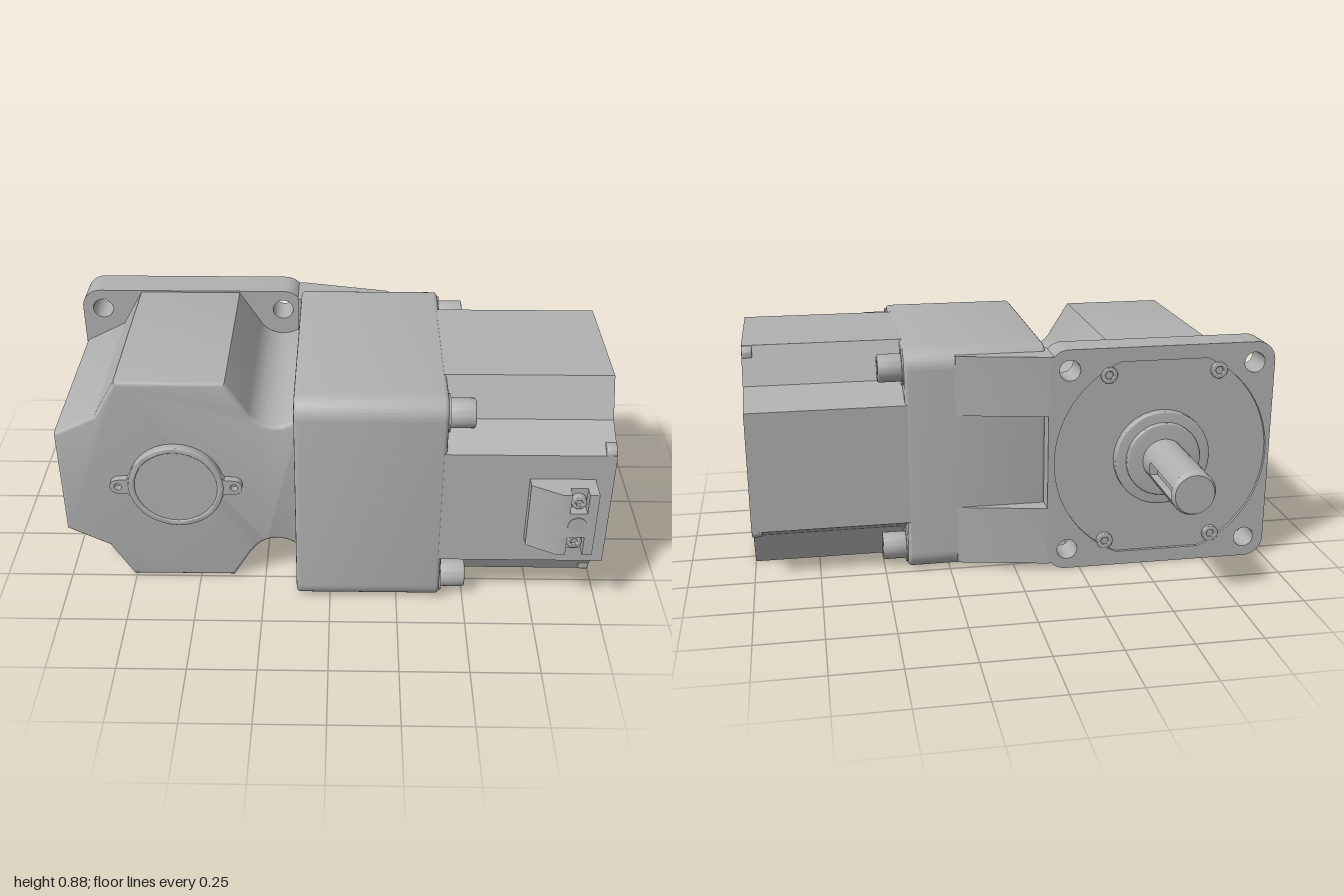
import * as THREE from 'three';
import { toCreasedNormals } from 'three/addons/utils/BufferGeometryUtils.js';

const metal = new THREE.MeshStandardMaterial({ color: 0xb0b0b0 });
metal.name = 'grey metal';

const CX = -0.565, CY = 0.44;   // gearbox output axis
const MZ = 0.19;                // motor axis (z)

const shapeOf = (pts) => new THREE.Shape(pts.map(([x, y]) => new THREE.Vector2(x, y)));

function circle(x, y, r, Type = THREE.Shape) {
  const s = new Type();
  s.absarc(x, y, r, 0, Math.PI * 2, false);
  return s;
}

function roundedRect(x0, y0, x1, y1, r) {
  const s = new THREE.Shape();
  s.absarc(x1 - r, y1 - r, r, 0, Math.PI / 2);
  s.absarc(x0 + r, y1 - r, r, Math.PI / 2, Math.PI);
  s.absarc(x0 + r, y0 + r, r, Math.PI, Math.PI * 1.5);
  s.absarc(x1 - r, y0 + r, r, Math.PI * 1.5, Math.PI * 2);
  return s;
}

// Extrude between two stations along an axis; a bevel eats into the outline.
// axis x: shape is (-z, y); axis y: shape is (x, -z); axis z: shape is (x, y)
function prism(shape, a, b, axis = 'z', bevel = 0) {
  const g = new THREE.ExtrudeGeometry(shape, {
    depth: b - a - 2 * bevel, curveSegments: 16, bevelEnabled: bevel > 0,
    bevelThickness: bevel, bevelSize: bevel, bevelOffset: -bevel, bevelSegments: 3,
  });
  g.translate(0, 0, a + bevel);
  if (axis === 'x') g.rotateY(Math.PI / 2);
  if (axis === 'y') g.rotateX(-Math.PI / 2);
  return toCreasedNormals(g, 0.55);
}

export function createModel() {
  const model = new THREE.Group();
  model.name = 'gearedMotor';
  const add = (name, geo, parent = model) => {
    const m = new THREE.Mesh(geo, metal);
    m.name = name;
    parent.add(m);
    return m;
  };

  // Socket-head screw whose head grows along local +z
  function screw(name, r, len, pos, ry = 0) {
    const g = new THREE.Group();
    g.name = name;
    const head = circle(0, 0, r);
    const hex = new THREE.Path();
    for (let i = 0; i <= 6; i++) {
      const a = (i * Math.PI) / 3, c = r * 0.5;
      i ? hex.lineTo(c * Math.cos(a), c * Math.sin(a)) : hex.moveTo(c, 0);
    }
    head.holes.push(hex);
    add('screwHead', prism(head, 0, len, 'z', r * 0.1), g);
    add('socketFloor', prism(circle(0, 0, r * 0.6), 0, len * 0.5), g);
    g.position.set(...pos);
    g.rotation.y = ry;
    model.add(g);
  }

  // Mounting flange with four holes and a shallow recess on the back
  const holes = () => [-0.92, -0.2].flatMap((x) => [0.08, 0.8].map((y) => circle(x, y, 0.04, THREE.Path)));
  const flange = roundedRect(-1, 0, -0.12, 0.88, 0.075);
  flange.holes.push(...holes());
  add('mountingFlange', prism(flange, -0.308, -0.19));
  const rim = roundedRect(-1, 0, -0.12, 0.88, 0.075);
  const recess = new THREE.Path();
  const t = Math.asin(0.385 / 0.42);
  recess.absarc(CX, CY, 0.42, -t, t);
  recess.absarc(CX, CY, 0.42, Math.PI - t, Math.PI + t);
  recess.closePath();
  rim.holes.push(...holes(), recess);
  add('flangeRim', prism(rim, -0.32, -0.308));
  for (const sx of [-1, 1]) for (const sy of [-1, 1])
    screw('flangeScrew', 0.032, 0.018, [CX + sx * 0.215, CY + sy * 0.335, -0.307], Math.PI);

  // Gearbox housing: faceted on the outside, scooped around the inner bolt holes
  const body = new THREE.Shape();
  body.moveTo(-0.76, 0.875);
  body.lineTo(-0.84, 0.735);
  body.lineTo(-0.995, 0.655);
  body.lineTo(-0.995, 0.225);
  body.lineTo(-0.84, 0.145);
  body.lineTo(-0.76, 0.005);
  body.lineTo(-0.37, 0.005);
  body.lineTo(-0.3, 0.125);
  body.absarc(-0.2, 0.08, 0.105, 2.7, 0.6, true);
  body.lineTo(-0.1, 0.14);
  body.lineTo(-0.1, 0.74);
  body.absarc(-0.2, 0.8, 0.105, -0.6, -2.7, true);
  body.lineTo(-0.37, 0.875);
  add('gearboxHousing', prism(body, -0.2, 0.5, 'z', 0.015));

  // Front cap with two screw lugs
  const ring = circle(CX, 0.445, 0.175);
  ring.holes.push(circle(CX, 0.445, 0.152, THREE.Path));
  add('capRing', prism(ring, 0.49, 0.53, 'z', 0.005));
  add('capDisc', prism(circle(CX, 0.445, 0.153), 0.49, 0.525));
  for (const s of [-1, 1]) {
    const lug = new THREE.Shape();
    const x = CX + s * 0.213;
    lug.moveTo(CX + s * 0.155, 0.385);
    lug.lineTo(CX + s * 0.178, 0.412);
    lug.lineTo(x, 0.415);
    lug.absarc(x, 0.445, 0.03, -Math.PI / 2, Math.PI / 2, s < 0);
    lug.lineTo(CX + s * 0.178, 0.478);
    lug.lineTo(CX + s * 0.155, 0.505);
    lug.holes.push(circle(x, 0.445, 0.014, THREE.Path));
    add('capLug', prism(lug, 0.49, 0.527));
  }

  // Shaft collars and output shaft with keyway facing +x
  add('outerCollar', prism(circle(CX, CY, 0.187), -0.338, -0.3, 'z', 0.005));
  add('innerCollar', prism(circle(CX, CY, 0.145), -0.355, -0.3, 'z', 0.006));
  const R = 0.083, a = Math.asin(0.025 / R);
  const keyed = new THREE.Shape();
  keyed.absarc(CX, CY, R, a, Math.PI * 2 - a);
  keyed.lineTo(CX + 0.05, CY - 0.025);
  keyed.lineTo(CX + 0.05, CY + 0.025);
  add('shaftBase', prism(circle(CX, CY, R), -0.44, -0.32));
  add('shaftKeyway', prism(keyed, -0.71, -0.44));
  const tip = add('shaftTip', new THREE.CylinderGeometry(R, R - 0.01, 0.02, 40));
  tip.rotation.x = Math.PI / 2;
  tip.position.set(CX, CY, -0.72);

  // Adapter block between gearbox and motor
  add('adapterBlock', prism(roundedRect(-0.63, 0, 0.25, 0.88, 0.075), -0.125, 0.41, 'x', 0.015));
  // Sloping ribs running from flange to adapter
  const ramp = [[-0.14, 0.32], [-0.12, 0.32], [0.22, 0.25], [0.22, 0.17], [-0.14, 0.17]];
  add('lowerRamp', prism(shapeOf(ramp), 0.025, 0.255, 'y'));
  add('upperRamp', prism(shapeOf(ramp), 0.625, 0.855, 'y'));

  // Motor housing with notched corners
  const corner = [[0.44, 0.235], [0.31, 0.3], [0.24, 0.44]];
  const outline = [
    ...corner,
    ...corner.map(([u, v]) => [-u, v]).reverse(),
    ...corner.map(([u, v]) => [-u, -v]),
    ...corner.map(([u, v]) => [u, -v]).reverse(),
  ].map(([u, v]) => [u - MZ, v + CY]);
  add('motorHousing', prism(shapeOf(outline), 0.4, 1, 'x'));

  // Four large bolts with spot-face washers on the adapter
  for (const z of [-0.165, 0.555]) for (const y of [0.08, 0.8]) {
    add('boltSeat', prism(circle(-z, y, 0.068), 0.4, 0.416, 'x'));
    screw('adapterBolt', 0.053, 0.095, [0.41, y, z], Math.PI / 2);
  }
  // Small end screws, repeated a quarter turn at a time
  for (let i = 0, u = 0.408, v = 0.233; i < 4; i++, [u, v] = [-v, u])
    screw('endScrew', 0.031, 0.038, [0.961, CY + v, MZ + u], Math.PI / 2);

  // Cable connector: full middle, slotted ends
  const solid = [[0.705, -0.62], [0.705, -0.67], [0.81, -0.725], [0.935, -0.725], [0.935, -0.62]];
  const slotted = [...solid.slice(0, 3), [0.84, -0.725], [0.84, -0.685], [0.9, -0.685], [0.9, -0.725], ...solid.slice(3)];
  add('connectorBody', prism(shapeOf(solid), 0.39, 0.495, 'y'));
  add('connectorEnd', prism(shapeOf(slotted), 0.31, 0.39, 'y'));
  add('connectorEnd', prism(shapeOf(slotted), 0.495, 0.575, 'y'));
  add('connectorPlug', prism(circle(0.87, 0.443, 0.034), 0.7, 0.728));
  for (const y of [0.357, 0.53]) screw('connectorScrew', 0.027, 0.025, [0.87, y, 0.685]);

  return model;
}
